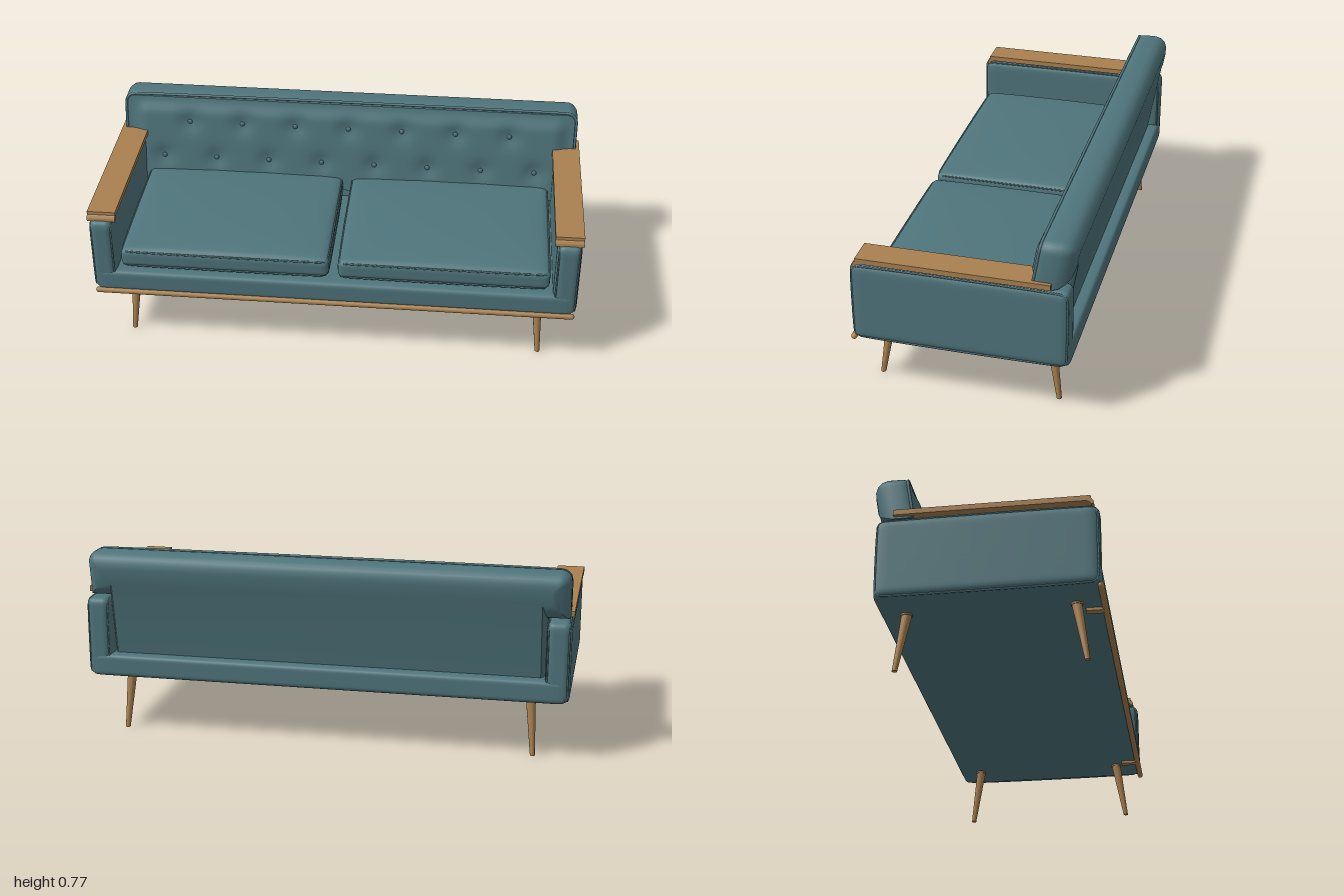
import * as THREE from 'three';
import { mergeVertices, toCreasedNormals } from 'three/addons/utils/BufferGeometryUtils.js';

const fabric = new THREE.MeshStandardMaterial({ color: 0x4f757c });
fabric.name = 'tealFabric';
const wood = new THREE.MeshStandardMaterial({ color: 0xa98150 });
wood.name = 'oakWood';

function add(parent, name, geometry, material, x = 0, y = 0, z = 0) {
  const mesh = new THREE.Mesh(geometry, material);
  mesh.name = name;
  mesh.position.set(x, y, z);
  parent.add(mesh);
  return mesh;
}

// Box with rounded edges of radius r and an optional domed top
function softBox(w, h, d, r, crown = 0) {
  const n = 24;
  const geo = new THREE.BoxGeometry(w, h, d, n, n, n);
  const p = geo.attributes.position;
  const half = new THREE.Vector3(w / 2, h / 2, d / 2);
  const inner = half.clone().subScalar(r);
  const v = new THREE.Vector3(), c = new THREE.Vector3();
  for (let i = 0; i < p.count; i++) {
    v.fromBufferAttribute(p, i);
    // crowd the vertices towards the edges
    for (const a of ['x', 'y', 'z']) v[a] = half[a] * Math.sin((v[a] / half[a]) * Math.PI / 2);
    c.copy(v).clamp(inner.clone().negate(), inner);
    v.sub(c).setLength(r).add(c);
    if (v.y > 0) {
      const u = v.x / half.x, t = v.z / half.z;
      v.y += crown * Math.sqrt(Math.max(0, (1 - u * u) * (1 - t * t))) * (v.y / half.y);
    }
    p.setXYZ(i, v.x, v.y, v.z);
  }
  geo.deleteAttribute('uv');
  geo.deleteAttribute('normal');
  const merged = mergeVertices(geo, 1e-5);
  merged.computeVertexNormals();
  return merged;
}

// Closed piping cord round a rectangle; place(a, b) maps the flat outline to 3D
function piping(w, h, r, place, radius = 0.004) {
  const pts = [];
  [[1, 1], [-1, 1], [-1, -1], [1, -1]].forEach(([sx, sy], k) => {
    for (let i = 0; i <= 4; i++) {
      const a = (k + i / 4) * Math.PI / 2;
      pts.push(place(sx * (w / 2 - r) + r * Math.cos(a), sy * (h / 2 - r) + r * Math.sin(a)));
    }
  });
  return new THREE.TubeGeometry(new THREE.CatmullRomCurve3(pts, true, 'centripetal'), 120, radius, 6, true);
}

// Backrest: leaning front plane, wide above the arms and narrow between them
const backZ = (y, depth = 0) => -0.272 - depth - 0.17 * (y - 0.58);

function upperOutline(inset) {
  const W = 0.985 - inset, T = 0.768 - inset, r = Math.max(0.045 - inset, 0.01);
  const right = [[W, 0.577 + inset]];
  for (let i = 0; i <= 6; i++) {
    const a = i / 6 * Math.PI / 2;
    right.push([W - r + r * Math.cos(a), T - r + r * Math.sin(a)]);
  }
  return [...right, ...right.map(([x, y]) => [-x, y]).reverse()];
}

function backrestGeometry() {
  const loops = [[0, 0.012], [0.01, 0.003], [0.03, 0], [0.08, 0], [0.105, 0.007],
    [0.125, 0.021], [0.139, 0.042], [0.145, 0.065]];
  const verts = [], index = [];
  let n = 0, first, last;
  for (const [depth, inset] of loops) {
    const N = 0.897 - inset * 0.3, B = 0.325, s = 0.577 + inset;
    const pts = [...upperOutline(inset), [-N, s], [-N, B], [N, B], [N, s]];
    n = pts.length;
    pts.forEach(([x, y]) => verts.push(x, y, backZ(y, depth)));
    last = pts.map(([x, y]) => new THREE.Vector2(x, y));
    first = first || last;
  }
  for (let k = 0; k < loops.length - 1; k++) {
    for (let j = 0; j < n; j++) {
      const a = k * n + j, b = k * n + (j + 1) % n;
      index.push(a, a + n, b, b, a + n, b + n);
    }
  }
  const end = (loops.length - 1) * n;
  THREE.ShapeUtils.triangulateShape(first, []).forEach(([a, b, c]) => index.push(a, b, c));
  THREE.ShapeUtils.triangulateShape(last, []).forEach(([a, b, c]) => index.push(end + a, end + c, end + b));
  const geo = new THREE.BufferGeometry();
  geo.setAttribute('position', new THREE.Float32BufferAttribute(verts, 3));
  geo.setIndex(index);
  return toCreasedNormals(geo, 0.7);
}

// Button positions in two staggered rows
const buttons = [];
for (let i = -3; i <= 3; i++) buttons.push([i * 0.2325, 0.65]);
for (let i = -3.5; i <= 3.5; i++) buttons.push([i * 0.2325, 0.49]);

// Padding height over the backrest front, dimpled at each button
function padding(x, y) {
  const edge = THREE.MathUtils.smoothstep(0.955 - Math.abs(x), 0, 0.07) *
    THREE.MathUtils.smoothstep(0.752 - y, 0, 0.07);
  let dimple = 0;
  for (const [bx, by] of buttons) {
    dimple = Math.max(dimple, Math.exp(-((x - bx) ** 2 + (y - by) ** 2) / 0.0022));
  }
  return 0.001 + 0.019 * edge * (1 - 0.75 * dimple);
}

function tuftedGeometry() {
  const geo = new THREE.PlaneGeometry(1.91, 0.38, 150, 32);
  const p = geo.attributes.position;
  for (let i = 0; i < p.count; i++) {
    const x = p.getX(i), y = p.getY(i) + 0.562;
    p.setXYZ(i, x, y, backZ(y) + padding(x, y));
  }
  geo.computeVertexNormals();
  return geo;
}

export function createModel() {
  const sofa = new THREE.Group();
  sofa.name = 'sofa';

  // Upholstered base
  add(sofa, 'seatBase', softBox(1.96, 0.095, 0.854, 0.02), fabric, 0, 0.2875, 0.005);

  // Backrest with piping, tufting and buttons
  const back = new THREE.Group();
  back.name = 'backrest';
  sofa.add(back);
  add(back, 'backrestBody', backrestGeometry(), fabric);
  add(back, 'tuftedFront', tuftedGeometry(), fabric);
  const rim = upperOutline(0.006).map(([x, y]) => new THREE.Vector3(x, y, backZ(y, 0.004)));
  add(back, 'backrestPiping', new THREE.TubeGeometry(
    new THREE.CatmullRomCurve3(rim, false, 'centripetal'), 160, 0.006, 6), fabric);
  for (const [x, y] of buttons) {
    const b = add(back, 'button', new THREE.SphereGeometry(0.011, 12, 8), fabric, x, y, backZ(y) + padding(x, y) + 0.001);
    b.scale.z = 0.6;
  }

  // Armrest profile with a drooping front lip, drawn as (z, y)
  const restShape = new THREE.Shape();
  restShape.moveTo(-0.35, 0.585);
  restShape.lineTo(0.375, 0.585);
  restShape.quadraticCurveTo(0.395, 0.584, 0.402, 0.57);
  restShape.lineTo(0.412, 0.569);
  restShape.quadraticCurveTo(0.413, 0.585, 0.401, 0.594);
  restShape.lineTo(0.4, 0.607);
  restShape.lineTo(-0.35, 0.607);
  const restGeo = new THREE.ExtrudeGeometry(restShape, { depth: 0.115, bevelEnabled: false });
  restGeo.rotateY(-Math.PI / 2);
  const rest = toCreasedNormals(restGeo.scale(1, 1, 1), 0.6);

  for (const s of [1, -1]) {
    const side = s > 0 ? 'left' : 'right';

    // Arm panel with piping on both faces
    add(sofa, side + 'Arm', softBox(0.1, 0.333, 0.85, 0.03, 0.003), fabric, s * 0.945, 0.4075, 0.005);
    for (const x of [0.904, 0.986]) {
      add(sofa, side + 'ArmPiping', piping(0.832, 0.315, 0.026,
        (a, b) => new THREE.Vector3(s * x, 0.4075 + b, 0.005 + a)), fabric);
    }
    add(sofa, side + 'Armrest', rest, wood, s > 0 ? 1 : -0.885);

    // Seat cushion with piping on both rims
    add(sofa, side + 'Cushion', softBox(0.862, 0.082, 0.66, 0.025, 0.024), fabric, s * 0.449, 0.384, 0.075);
    for (const y of [0.351, 0.417]) {
      add(sofa, side + 'CushionPiping', piping(0.85, 0.648, 0.025,
        (a, b) => new THREE.Vector3(s * 0.449 + a, y, 0.075 + b)), fabric);
    }

    // Splayed tapered legs with a mounting collar
    for (const f of [1, -1]) {
      const top = new THREE.Vector3(s * 0.838, 0.236, f > 0 ? 0.326 : -0.321);
      const foot = new THREE.Vector3(s * 0.855, 0, f > 0 ? 0.363 : -0.356);
      const leg = new THREE.CylinderGeometry(0.02, 0.01, 0.236, 20);
      const p = leg.attributes.position;
      for (let i = 0; i < p.count; i++) {
        const t = 0.5 - p.getY(i) / 0.236;
        p.setX(i, p.getX(i) + (foot.x - top.x) * t);
        p.setZ(i, p.getZ(i) + (foot.z - top.z) * t);
      }
      leg.computeVertexNormals();
      add(sofa, f > 0 ? 'frontLeg' : 'backLeg', toCreasedNormals(leg, 0.6), wood, top.x, 0.118, top.z);
      add(sofa, 'legCollar', new THREE.CylinderGeometry(0.023, 0.023, 0.008, 20), wood, top.x, 0.237, top.z);
    }

    // Bracket joining the front rail to the base
    add(sofa, 'railBracket', new THREE.BoxGeometry(0.03, 0.012, 0.075), wood, s * 0.79, 0.232, 0.393);
  }

  // Rounded wooden rail along the front
  const rail = new THREE.CapsuleGeometry(0.012, 1.952, 6, 16);
  rail.rotateZ(Math.PI / 2);
  add(sofa, 'frontRail', rail, wood, 0, 0.238, 0.429);

  return sofa;
}
